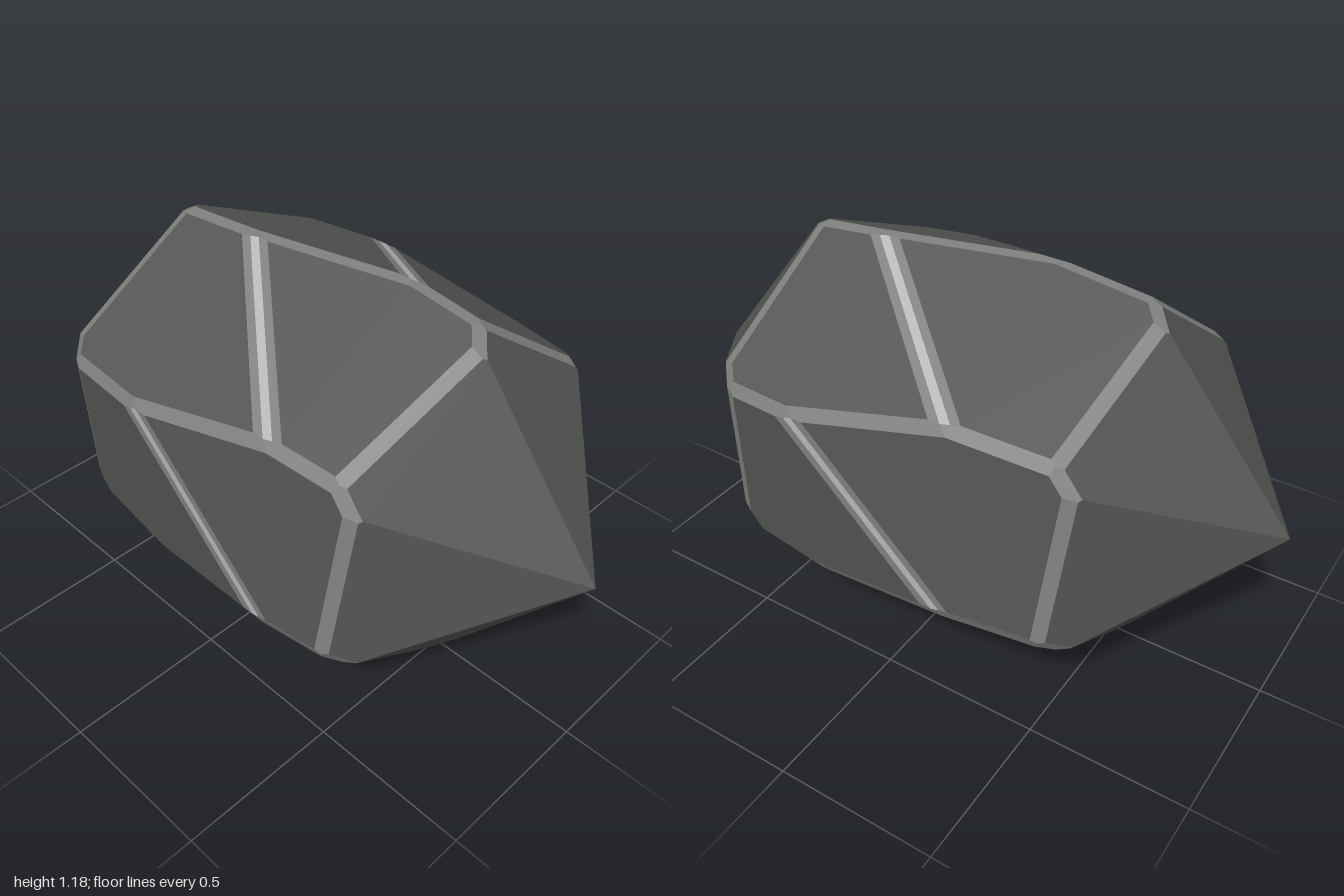
import * as THREE from 'three';

const SIDES = 6;
const TWIST = 5.7;            // degrees each end is turned, front one way and back the other
const RADIUS = 0.605;         // sharp body radius before bevelling
const FRONT_Z = 0.29, BACK_Z = -0.22; // where the long ridges bend
const POINT_SLOPE = 1.085;    // inradius of a point per unit of length
const BEVEL = 0.042, BAND = 0.076;

const rad = THREE.MathUtils.degToRad;

// Plane facing angle deg (from +y towards +x) with a tilt along z; solid side is n.p <= d
function plane(deg, tilt, d) {
  const n = new THREE.Vector3(Math.sin(rad(deg)), Math.cos(rad(deg)), tilt);
  const len = n.length();
  return { n: n.divideScalar(len), d: d / len };
}

// Plane that cuts the edge between two planes with a chamfer of the given width
function bevel(a, b, width) {
  const n = a.n.clone().add(b.n), len = n.length();
  const half = a.n.angleTo(b.n) / 2;
  return { n: n.divideScalar(len), d: (a.d + b.d - width * Math.sin(half)) / len };
}

// Keep the part of a convex polygon on the solid side of a plane
function clip(poly, { n, d }) {
  const out = [];
  poly.forEach((p, i) => {
    const q = poly[(i + 1) % poly.length];
    const sp = n.dot(p) - d, sq = n.dot(q) - d;
    if (sp <= 0) out.push(p);
    if (sp * sq < 0) out.push(p.clone().lerp(q, sp / (sp - sq)));
  });
  return out;
}

// Face of the solid on one plane
function faceOn(pl, planes) {
  const u = new THREE.Vector3(0.31, 0.47, 0.83).cross(pl.n).normalize();
  const v = pl.n.clone().cross(u);
  let poly = [[-4, -4], [4, -4], [4, 4], [-4, 4]].map(([s, t]) =>
    pl.n.clone().multiplyScalar(pl.d).addScaledVector(u, s).addScaledVector(v, t));
  for (const other of planes) if (other !== pl) poly = clip(poly, other);
  return poly;
}

function polygonMesh(name, polys, material) {
  const pos = [];
  for (const p of polys)
    for (let i = 1; i + 1 < p.length; i++)
      for (const c of [p[0], p[i], p[i + 1]]) pos.push(c.x, c.y, c.z);
  const geo = new THREE.BufferGeometry();
  geo.setAttribute('position', new THREE.Float32BufferAttribute(pos, 3));
  geo.computeVertexNormals();
  const mesh = new THREE.Mesh(geo, material);
  mesh.name = name;
  return mesh;
}

export function createModel() {
  const stone = new THREE.MeshStandardMaterial({ color: 0x545754 });
  stone.name = 'dark stone';
  const edge = new THREE.MeshStandardMaterial({ color: 0x7f827f });
  edge.name = 'worn edge';
  const light = new THREE.MeshStandardMaterial({ color: 0xb6b7b6 });
  light.name = 'light band';

  // Panel planes: one leaning forward and one leaning back on every side
  const inner = RADIUS * Math.cos(rad(30));
  const outer = RADIUS * Math.cos(rad(30 - 2 * TWIST));
  const tilt = (outer - inner) / (FRONT_Z - BACK_Z);
  const frontPoint = [], backPoint = [], frontPanels = [], backPanels = [];
  for (let k = 0; k < SIDES; k++) {
    const deg = 30 + k * 60;
    frontPoint.push(plane(deg, POINT_SLOPE, POINT_SLOPE));
    backPoint.push(plane(deg, -POINT_SLOPE, POINT_SLOPE));
    frontPanels.push(plane(deg + TWIST, tilt, inner + tilt * FRONT_Z));
    backPanels.push(plane(deg - TWIST, -tilt, inner - tilt * BACK_Z));
  }

  // Chamfers on the rims, the long ridges and the diagonal of each side
  const rims = [], ridges = [], bands = [];
  for (let k = 0; k < SIDES; k++) {
    const next = (k + 1) % SIDES;
    rims.push(
      bevel(frontPoint[k], frontPanels[k], BEVEL),
      bevel(frontPoint[next], frontPanels[k], BEVEL),
      bevel(backPoint[k], backPanels[k], BEVEL),
      bevel(backPoint[k], backPanels[next], BEVEL));
    ridges.push(
      bevel(frontPanels[k], frontPanels[next], BEVEL),
      bevel(backPanels[k], backPanels[next], BEVEL),
      bevel(frontPanels[k], backPanels[next], BEVEL));
    bands.push(bevel(frontPanels[k], backPanels[k], BAND));
  }

  const all = [frontPoint, backPoint, frontPanels, backPanels, rims, ridges, bands].flat();
  const faces = (list) => list.map((pl) => faceOn(pl, all));

  // Split each diagonal band lengthwise into a light middle and two borders
  const middles = [], borders = [];
  faces(bands).forEach((poly, k) => {
    const a = frontPanels[k], b = backPanels[k];
    const n = a.n.clone().sub(b.n), len = n.length();
    n.divideScalar(len);
    const c = (a.d - b.d) / len, h = BAND / 6;
    const below = (d) => ({ n, d });
    const above = (d) => ({ n: n.clone().negate(), d: -d });
    middles.push(clip(clip(poly, below(c + h)), above(c - h)));
    borders.push(clip(poly, above(c + h)), clip(poly, below(c - h)));
  });

  const model = new THREE.Group();
  model.name = 'facetedCrystal';
  model.add(
    polygonMesh('frontPoint', faces(frontPoint), stone),
    polygonMesh('backPoint', faces(backPoint), stone),
    polygonMesh('frontPanels', faces(frontPanels), stone),
    polygonMesh('backPanels', faces(backPanels), stone),
    polygonMesh('rimBevels', faces(rims), edge),
    polygonMesh('ridgeBevels', faces(ridges), edge),
    polygonMesh('bandBorders', borders, edge),
    polygonMesh('bandMiddles', middles, light));

  // Stand it on the ground
  const lift = -new THREE.Box3().setFromObject(model).min.y;
  for (const mesh of model.children) mesh.geometry.translate(0, lift, 0);
  return model;
}
